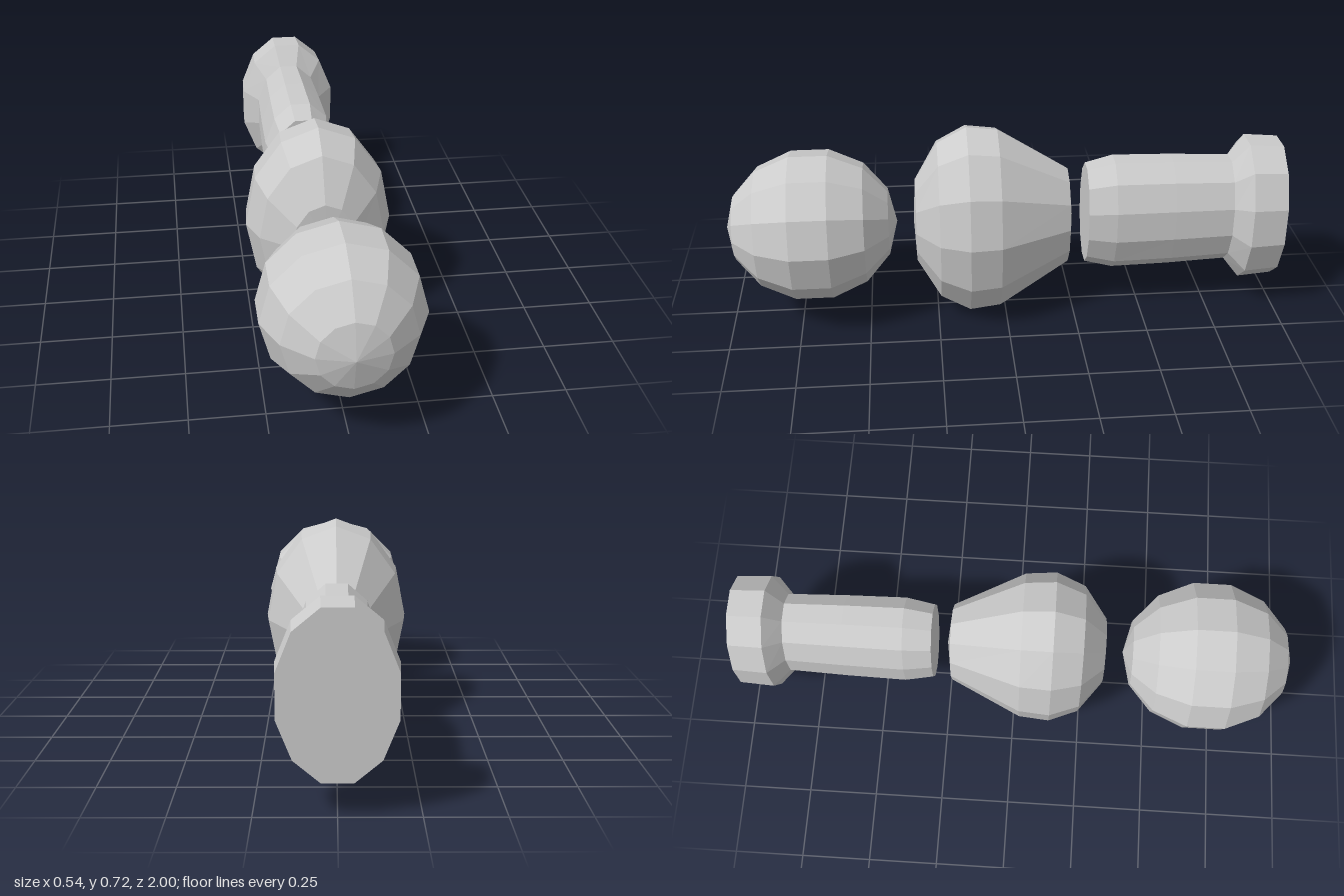
import * as THREE from 'three';

const SIDES = 12;

// Faceted solid lofted along z through elliptical rings [z, rx, ry], back to front
function loft(name, rings, centerY, turn = 0) {
  const point = ([z, rx, ry], i) => {
    const a = (i % SIDES) / SIDES * Math.PI * 2 + turn;
    return [rx * Math.cos(a), ry * Math.sin(a), z];
  };
  const pos = [];
  for (let k = 0; k < rings.length - 1; k++) {
    const back = rings[k], front = rings[k + 1];
    for (let i = 0; i < SIDES; i++) {
      if (back[1] > 0) pos.push(...point(back, i), ...point(back, i + 1), ...point(front, i));
      if (front[1] > 0) pos.push(...point(back, i + 1), ...point(front, i + 1), ...point(front, i));
    }
  }
  const geo = new THREE.BufferGeometry();
  geo.setAttribute('position', new THREE.Float32BufferAttribute(pos, 3));
  geo.computeVertexNormals();
  const mesh = new THREE.Mesh(geo, new THREE.MeshStandardMaterial({ color: 0xcccccc, flatShading: true }));
  mesh.name = name;
  mesh.position.y = centerY;
  return mesh;
}

export function createModel() {
  const model = new THREE.Group();
  model.name = 'segmentedBody';

  // Rounded front segment: a sphere in seven bands, slightly stretched along z
  const ball = [];
  for (let k = 0; k <= 7; k++) {
    const t = Math.PI * k / 7;
    const r = k % 7 ? 0.275 * Math.sin(t) : 0;
    ball.push([0.695 - 0.305 * Math.cos(t), r, r]);
  }
  model.add(loft('frontBall', ball, 0.361));

  // Tall pear-shaped middle segment, tapering to the back
  model.add(loft('middleBulb', [
    [-0.248, 0, 0],
    [-0.228, 0.13, 0.185],
    [0.025, 0.248, 0.346],
    [0.135, 0.257, 0.36],
    [0.24, 0.217, 0.303],
    [0.322, 0.112, 0.158],
    [0.33, 0, 0],
  ], 0.361));

  // Rear barrel with a flared end, flat side up
  const flat = 1 / Math.cos(Math.PI / SIDES);
  const barrel = [
    [-1, 0, 0],
    [-1, 0.18, 0.26],
    [-0.877, 0.186, 0.27],
    [-0.82, 0.127, 0.198],
    [-0.607, 0.134, 0.208],
    [-0.395, 0.138, 0.212],
    [-0.295, 0.121, 0.187],
    [-0.295, 0, 0],
  ].map(([z, x, y]) => [z, x * flat, y * flat]);
  model.add(loft('rearBarrel', barrel, 0.365, Math.PI / SIDES));

  return model;
}
